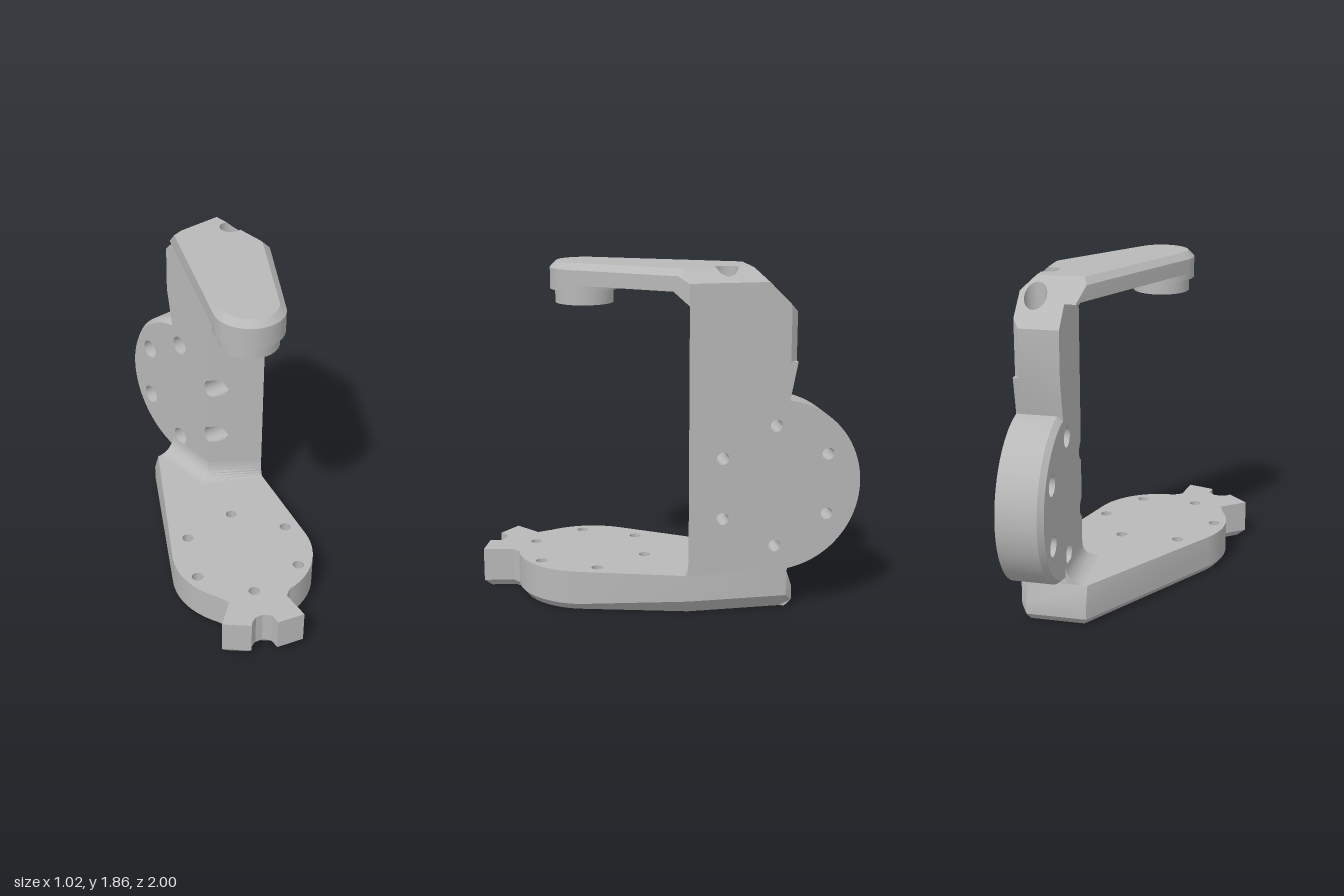
import * as THREE from 'three';
import { mergeGeometries, toCreasedNormals } from 'three/addons/utils/BufferGeometryUtils.js';

const DEG = Math.PI / 180;

// points along a circular arc, angles in degrees
function arc(cu, cv, r, a0, a1, n = 24) {
  return Array.from({ length: n + 1 }, (_, i) => {
    const a = (a0 + (a1 - a0) * i / n) * DEG;
    return [cu + r * Math.cos(a), cv + r * Math.sin(a)];
  });
}
const ring = (u, v, r) => arc(u, v, r, 0, 360, 28).slice(0, -1);

function fromTriangles(list) {
  const g = new THREE.BufferGeometry();
  g.setAttribute('position', new THREE.Float32BufferAttribute(list.flat(), 3));
  return g;
}

// flat face: outline and holes in 2D, placed in space by a mapping
function face(outline, holes, map) {
  const vec = (pts) => pts.map(([u, v]) => new THREE.Vector2(u, v));
  const shape = new THREE.Shape(vec(outline));
  shape.holes = holes.map((h) => new THREE.Path(vec(h)));
  const p = new THREE.ShapeGeometry(shape).toNonIndexed().attributes.position;
  return fromTriangles(Array.from({ length: p.count }, (_, i) => map(p.getX(i), p.getY(i))));
}

// band of quads between two matching rows of 3D points
function strip(a, b, closed = false) {
  const tris = [];
  for (let i = 0; i < a.length - (closed ? 0 : 1); i++) {
    const j = (i + 1) % a.length;
    tris.push(a[i], a[j], b[j], a[i], b[j], b[i]);
  }
  return fromTriangles(tris);
}
function strips(rows, closed = false) {
  return rows.slice(1).map((row, i) => strip(rows[i], row, closed));
}

// counterbored hole: mouth follows the surface, map takes (u, v, depth)
function bore(u, v, R, r, mouth, floor, end, map, capped) {
  const wide = ring(u, v, R), slim = ring(u, v, r);
  const at = (pts, d) => pts.map(([a, b]) => map(a, b, d));
  const parts = strips([wide.map(([a, b]) => map(a, b, mouth(a, b))), at(wide, floor), at(slim, floor), at(slim, end)], true);
  if (capped) parts.push(face(slim, [], (a, b) => map(a, b, end)));
  return parts;
}

// inset a polygon with mitred corners, distance given per point
function inset(pts, dist) {
  return pts.map((p, i) => {
    const q = pts[(i + pts.length - 1) % pts.length], s = pts[(i + 1) % pts.length];
    const normal = (a, b) => {
      const l = Math.hypot(b[0] - a[0], b[1] - a[1]);
      return [-(b[1] - a[1]) / l, (b[0] - a[0]) / l];
    };
    const m = normal(q, p), n = normal(p, s);
    const k = dist(p) / (1 + m[0] * n[0] + m[1] * n[1]);
    return [p[0] + (m[0] + n[0]) * k, p[1] + (m[1] + n[1]) * k];
  });
}

export function createModel() {
  const group = new THREE.Group();
  const gray = new THREE.MeshStandardMaterial({ color: 0xb8b8b8, side: THREE.DoubleSide });
  gray.name = 'light gray';
  const add = (name, parts) => {
    const mesh = new THREE.Mesh(toCreasedNormals(mergeGeometries(parts), 0.45), gray);
    mesh.name = name;
    group.add(mesh);
  };

  // base plate with forked tip and chamfered underside
  const outline = [
    [0.14, -0.64], [0.475, -0.64], [0.51, -0.6], [0.51, -0.06],
    ...arc(-0.045, 0.4, 0.4, 16.6, 91),
    [-0.1, 0.83], [-0.125, 0.995], [-0.275, 0.95], [-0.265, 0.89], [-0.3, 0.855],
    [-0.34, 0.845], [-0.38, 0.86], [-0.4, 0.88], [-0.515, 0.77], [-0.375, 0.665],
    ...arc(-0.045, 0.4, 0.4, 153, 212.4),
  ];
  const outer = (p) => p[0] > 0.5;
  const bottom = inset(outline, (p) => (outer(p) ? 0.06 : 0.033));
  const top = outline.map(([x, z]) => [x, Math.max(z, -0.605)]);
  const lift = (pts, y) => pts.map(([x, z]) => [x, y, z]);
  const baseCentres = arc(-0.045, 0.4, 0.332, 0, 300, 5);
  const baseHoles = baseCentres.map(([x, z]) => ring(x, z, 0.032));
  add('basePlate', [
    face(top, baseHoles, (x, z) => [x, 0.225, z]),
    face(bottom, baseHoles, (x, z) => [x, 0, z]),
    ...strips([lift(top, 0.225), lift(outline, 0.12),
      outline.map((p) => [p[0], outer(p) ? 0.08 : 0.04, p[1]]), lift(bottom, 0)], true),
    ...baseHoles.map((h) => strip(lift(h, 0), lift(h, 0.225), true)),
  ]);

  // upright with rear disc, profile drawn in z and y
  const back = (x, r, corner) => [
    corner ? [-0.6, 1.67] : [-0.64, 1.63], corner ? [-0.6, 1.37] : [-0.64, 1.37],
    [-0.64, 1.37], [-0.6, 1.165],
    ...arc(-0.53, 0.7, r, 98.6, 261.4, 40), [-0.605, 0.235], [-0.605, 0.225],
  ].map(([z, y]) => [x, y, z]);
  const profile = (chain) => chain.map(([, y, z]) => [z, y]).filter((p, i, a) =>
    !i || Math.hypot(p[0] - a[i - 1][0], p[1] - a[i - 1][1]) > 1e-4);
  const rows = [back(0.51, 0.47, true), back(0.475, 0.47), back(0.29, 0.47), back(0.26, 0.445)];
  const centres = arc(-0.53, 0.7, 0.332, 30, 330, 5);
  const R = 0.056, slim = 0.033;
  const wallX = (z) => 0.26 + Math.max(0, z + 0.26) / 0.8;
  const cut = Math.acos((-0.26 - centres[0][0]) / R) / DEG;
  const low = centres[5], high = centres[0];
  add('upright', [
    face([[-0.06, 0.225], [-0.06, 1.79], [-0.48, 1.79], ...profile(rows[0])],
      centres.map(([z, y]) => ring(z, y, slim)), (z, y) => [0.51, y, z]),
    face([[-0.26, 0.225], ...arc(...low, R, 360 - cut, cut, 20), ...arc(...high, R, 360 - cut, cut, 20),
      [-0.26, 1.745], [-0.53, 1.745], ...profile(rows[3])],
    centres.slice(1, 5).map(([z, y]) => ring(z, y, R)), (z, y) => [0.26, y, z]),
    // slanting front wall, notched by two of the bores
    face([[0.26, 0.225], ...[low, high].flatMap((c) =>
      arc(...c, R, -cut, cut, 20).map(([z, y]) => [wallX(z), y])),
    [0.26, 1.675], [0.51, 1.675], [0.51, 0.225]], [], (x, y) => [x, y, -0.26 + (x - 0.26) * 0.8]),
    ...strips(rows),
    ...centres.flatMap(([z, y]) => bore(z, y, R, slim, (a) => wallX(a), 0.4, 0.51, (a, b, d) => [d, b, a])),
  ]);

  // hollow fillet between upright and base
  const foot = [[0.26, -0.605], [0.26, -0.26], [0.51, -0.06]];
  const reach = [[-0.1, 0], [-0.08, 0.05], [-0.005, 0.02]];
  const filletRows = Array.from({ length: 9 }, (_, k) => {
    const a = k / 8 * Math.PI / 2, s = 1 - Math.sin(a);
    return foot.map(([x, z], i) => [x + reach[i][0] * s, 0.225 + 0.1 * (1 - Math.cos(a)), z + reach[i][1] * s]);
  });
  const filletEnd = (i) => strip(filletRows.map((r) => r[i]), filletRows.map(() => [foot[i][0], 0.225, foot[i][1]]));
  add('footFillet', [...strips(filletRows), filletEnd(0), filletEnd(2)]);

  // upper arm: underside, side and chamfer rows around the rounded tip
  const tip = (r) => arc(-0.045, 0.41, r, 205.5, 35, 30);
  const under = [[0.2, 1.745, -0.53], ...lift(tip(0.185), 1.745), [0.455, 1.745, 0.015], [0.51, 1.675, -0.06]];
  const side = [[0.165, 1.825, -0.445], ...lift(tip(0.185), 1.825), [0.47, 1.825, -0.005], [0.51, 1.79, -0.06]];
  const crown = [[0.185, 1.86, -0.41], ...lift(tip(0.15), 1.86), [0.435, 1.86, -0.025], [0.44, 1.86, -0.045]];
  const flat = (row) => row.map(([x, , z]) => [x, z]);
  const br = 0.06, open = Math.acos(0.02 / br) / DEG;
  const slant = (z) => 2.27 + z;
  const drill = (x, z, d) => [x, d, z];
  add('upperArm', [
    ...strips([under, side, crown]),
    face([...flat(crown), ...arc(0.42, -0.27, br, open, 360 - open), [0.44, -0.41]], [], (x, z) => [x, 1.86, z]),
    // outer chamfer, notched by the first bore
    face([[0.44, -0.045], [0.51, -0.06], [0.51, -0.48], [0.44, -0.41], ...arc(0.42, -0.27, br, -open, open, 16)],
      [], (x, z) => [x, 2.3 - x, z]),
    // slope down to the back
    face([[0.185, -0.41], [0.165, -0.445], [0.2, -0.53], [0.26, -0.53], [0.26, -0.64], [0.475, -0.64],
      [0.51, -0.6], [0.51, -0.48], [0.44, -0.41]], [ring(0.42, -0.5, br)], (x, z) => [x, slant(z), z]),
    face([...flat(under).slice(0, -1), [0.215, -0.21], [0.26, -0.26], [0.26, -0.53]], [], (x, z) => [x, 1.745, z]),
    // gusset under the arm
    strip([[0.26, 1.675, -0.26], [0.51, 1.675, -0.06]], [[0.215, 1.745, -0.21], [0.455, 1.745, 0.015]]),
    fromTriangles([[0.26, 1.675, -0.26], [0.215, 1.745, -0.21], [0.26, 1.745, -0.26]]),
    ...bore(0.42, -0.27, br, slim, (x) => Math.min(1.86, 2.3 - x), 1.7, 1.5, drill, true),
    ...bore(0.42, -0.5, br, slim, (x, z) => slant(z), 1.66, 1.5, drill, true),
  ]);

  // round boss below the arm tip
  const disc = (r, y0, y1) => {
    const g = new THREE.CylinderGeometry(r, r, y1 - y0, 48).translate(-0.045, (y0 + y1) / 2, 0.41).toNonIndexed();
    g.deleteAttribute('uv');
    g.deleteAttribute('normal');
    return g;
  };
  add('tipBoss', [disc(0.185, 1.71, 1.75), disc(0.158, 1.635, 1.71)]);
  return group;
}
